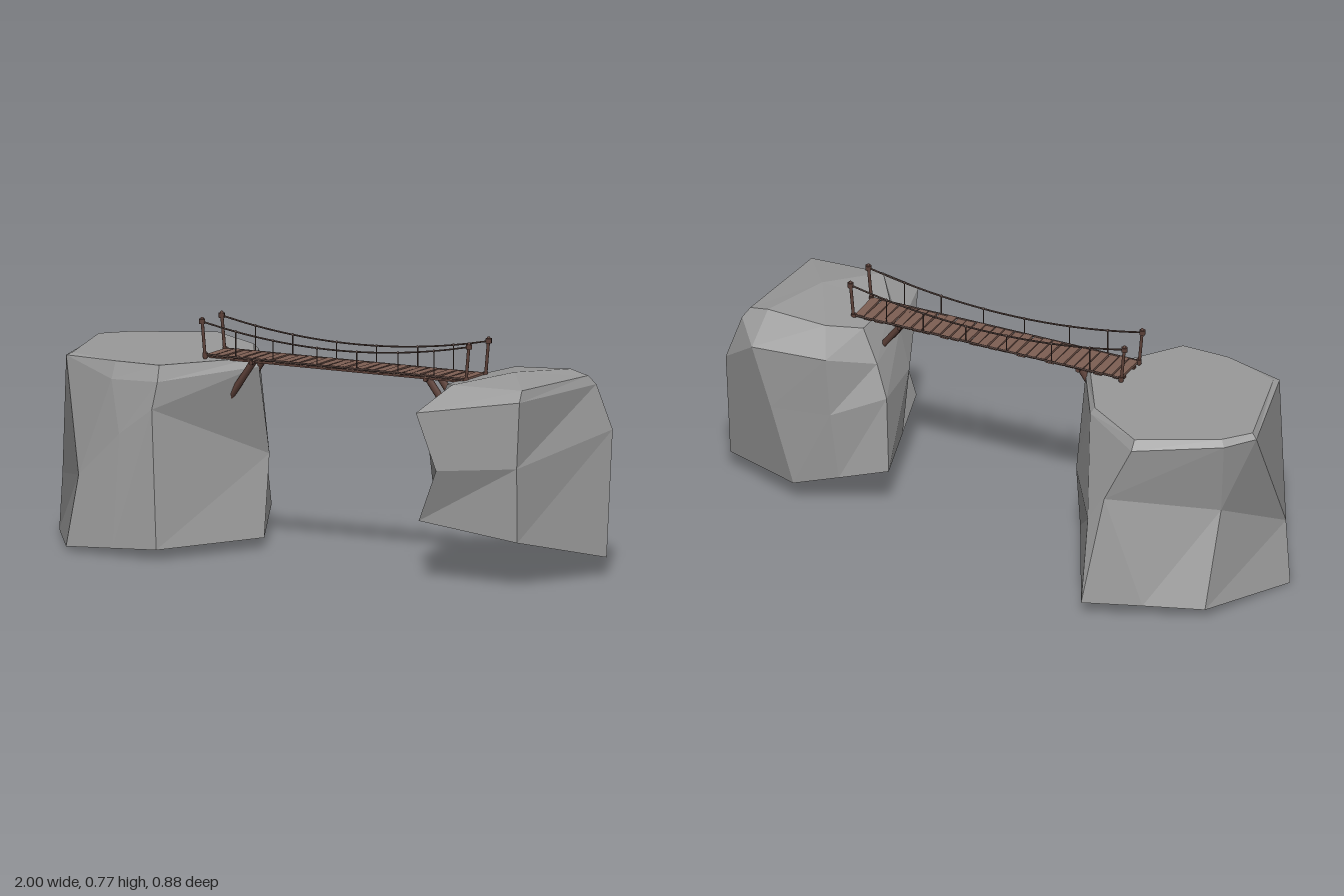
import * as THREE from 'three';

const stone = new THREE.MeshStandardMaterial({ color: 0x9a9a9a, flatShading: true, side: THREE.DoubleSide });
stone.name = 'stone';
const plankWood = new THREE.MeshStandardMaterial({ color: 0x7e5f54 });
plankWood.name = 'plank wood';
const darkWood = new THREE.MeshStandardMaterial({ color: 0x5c4038 });
darkWood.name = 'dark wood';
const ropeFibre = new THREE.MeshStandardMaterial({ color: 0x58453f });
ropeFibre.name = 'rope fibre';

const V = (x, y, z) => new THREE.Vector3(x, y, z);

function add(group, name, geometry, material) {
  const mesh = new THREE.Mesh(geometry, material);
  mesh.name = name;
  group.add(mesh);
  return mesh;
}

// Faceted rock, open below: rings run counter-clockwise seen from above
function rock(rings, peak) {
  const pos = [];
  const tri = (...corners) => corners.forEach((p) => pos.push(...p));
  const n = rings[0].length;
  for (let i = 0; i < n; i++) {
    const j = (i + 1) % n;
    for (let r = 0; r + 1 < rings.length; r++) {
      const low = rings[r], high = rings[r + 1];
      tri(low[i], low[j], high[j]);
      tri(low[i], high[j], high[i]);
    }
    const top = rings[rings.length - 1];
    tri(top[i], top[j], peak);
  }
  const g = new THREE.BufferGeometry();
  g.setAttribute('position', new THREE.Float32BufferAttribute(pos, 3));
  g.computeVertexNormals();
  return g;
}

// Round bar between two points
function bar(group, name, a, b, radius, material, sides = 6) {
  const mesh = add(group, name, new THREE.CylinderGeometry(radius, radius, a.distanceTo(b), sides), material);
  mesh.position.copy(a).add(b).multiplyScalar(0.5);
  mesh.quaternion.setFromUnitVectors(V(0, 1, 0), b.clone().sub(a).normalize());
  return mesh;
}

export function createModel() {
  const model = new THREE.Group();
  model.name = 'ropeBridgeBetweenRocks';

  // Large flat-topped rock
  const rim = [[-0.965, 0.615, -0.11], [-0.86, 0.625, 0.275], [-0.645, 0.575, 0.355], [-0.47, 0.58, 0.36],
    [-0.255, 0.605, 0.06], [-0.395, 0.615, -0.19], [-0.62, 0.6, -0.34], [-0.89, 0.61, -0.2]];
  const cap = rim.map(([x, , z]) => [-0.61 + (x + 0.61) * 0.95, 0.632, z * 0.93]);
  add(model, 'largeRock', rock([
    [[-1, 0, 0.07], [-0.78, 0.015, 0.42], [-0.6, 0.025, 0.43], [-0.43, 0.035, 0.44],
      [-0.235, 0.035, 0.06], [-0.485, 0.05, -0.44], [-0.67, 0.043, -0.36], [-0.86, 0.035, -0.28]],
    [[-0.96, 0.2, 0.12], [-0.755, 0.25, 0.38], [-0.6, 0.4, 0.385], [-0.48, 0.49, 0.38],
      [-0.265, 0.3, -0.03], [-0.47, 0.32, -0.36], [-0.53, 0.41, -0.36], [-0.86, 0.35, -0.16]],
    rim, cap], [-0.61, 0.632, 0]), stone);

  // Small domed rock
  add(model, 'smallRock', rock([
    [[0.875, 0.155, 0.345], [1, 0.06, -0.035], [0.71, 0.07, -0.155], [0.56, 0.11, -0.122],
      [0.395, 0.155, -0.085], [0.45, 0.18, 0.13], [0.51, 0.2, 0.355]],
    [[0.87, 0.4, 0.34], [0.97, 0.47, -0.13], [0.78, 0.35, -0.18], [0.58, 0.35, -0.145],
      [0.415, 0.41, -0.06], [0.44, 0.41, 0.16], [0.6, 0.38, 0.4]],
    [[0.875, 0.62, 0.33], [0.92, 0.62, -0.11], [0.84, 0.57, -0.2], [0.59, 0.56, -0.16],
      [0.46, 0.52, -0.04], [0.48, 0.55, 0.17], [0.53, 0.57, 0.41]],
    [[0.865, 0.655, 0.295], [0.9, 0.65, -0.09], [0.83, 0.665, -0.1], [0.62, 0.655, -0.1],
      [0.52, 0.63, -0.02], [0.52, 0.63, 0.18], [0.61, 0.655, 0.31]]],
  [0.74, 0.68, 0.12]), stone);

  const bridge = new THREE.Group();
  bridge.name = 'bridge';
  model.add(bridge);
  const x0 = -0.405, x1 = 0.575, zMid = 0.086;

  // Deck planks, slightly uneven
  const count = 28, pitch = (x1 - x0) / count;
  for (let i = 0; i < count; i++) {
    const plank = add(bridge, 'plank', new THREE.BoxGeometry(pitch * 0.86, 0.009, 0.128), plankWood);
    plank.position.set(x0 + (i + 0.5) * pitch, 0.643 + 0.0015 * Math.sin(i * 2.4), zMid + 0.002 * Math.sin(i * 1.7));
    plank.rotation.y = 0.03 * Math.sin(i * 3.1);
  }

  // Beams under the deck
  for (const z of [0.05, 0.122]) {
    const beam = add(bridge, 'deckBeam', new THREE.BoxGeometry(x1 - x0, 0.01, 0.014), darkWood);
    beam.position.set((x0 + x1) / 2, 0.634, z);
    // Diagonal struts running into the rocks
    bar(bridge, 'strut', V(-0.235, 0.64, z), V(-0.34, 0.49, z), 0.012, darkWood);
    bar(bridge, 'strut', V(0.41, 0.64, z), V(0.53, 0.48, z), 0.012, darkWood);
  }
  for (const x of [-0.24, 0.415]) {
    bar(bridge, 'crossBeam', V(x, 0.63, 0.03), V(x, 0.63, 0.142), 0.008, darkWood);
  }

  // Railings: leaning posts with knobs, sagging rope and hangers
  for (const z of [0.02, 0.153]) {
    const sag = (x) => 0.702 + 0.053 * ((x - 0.085) / 0.5) ** 2;
    for (const [foot, head] of [[-0.405, -0.417], [0.575, 0.587]]) {
      bar(bridge, 'post', V(foot, 0.632, z), V(head, 0.762, z), 0.0055, darkWood, 8);
      bar(bridge, 'postKnob', V(head, 0.748, z), V(head, 0.764, z), 0.0105, darkWood, 8);
      const tip = add(bridge, 'postTip', new THREE.SphereGeometry(0.006, 8, 6), darkWood);
      tip.position.set(head, 0.765, z);
      bar(bridge, 'postFoot', V(foot, 0.636, z), V(foot, 0.652, z), 0.009, darkWood, 8);
    }
    const path = [];
    for (let i = 0; i <= 12; i++) {
      const x = -0.417 + (1.004 * i) / 12;
      path.push(V(x, sag(x), z));
    }
    add(bridge, 'handRope', new THREE.TubeGeometry(new THREE.CatmullRomCurve3(path), 36, 0.003, 6), ropeFibre);
    bar(bridge, 'deckRope', V(x0, 0.646, z), V(x1, 0.646, z), 0.0035, ropeFibre);
    for (const x of [-0.29, -0.15, 0.015, 0.165, 0.32, 0.455]) {
      bar(bridge, 'hanger', V(x, 0.643, z), V(x, sag(x), z), 0.0022, ropeFibre, 5);
      const knot = add(bridge, 'knot', new THREE.SphereGeometry(0.005, 6, 5), ropeFibre);
      knot.position.set(x, sag(x), z);
    }
  }
  return model;
}
